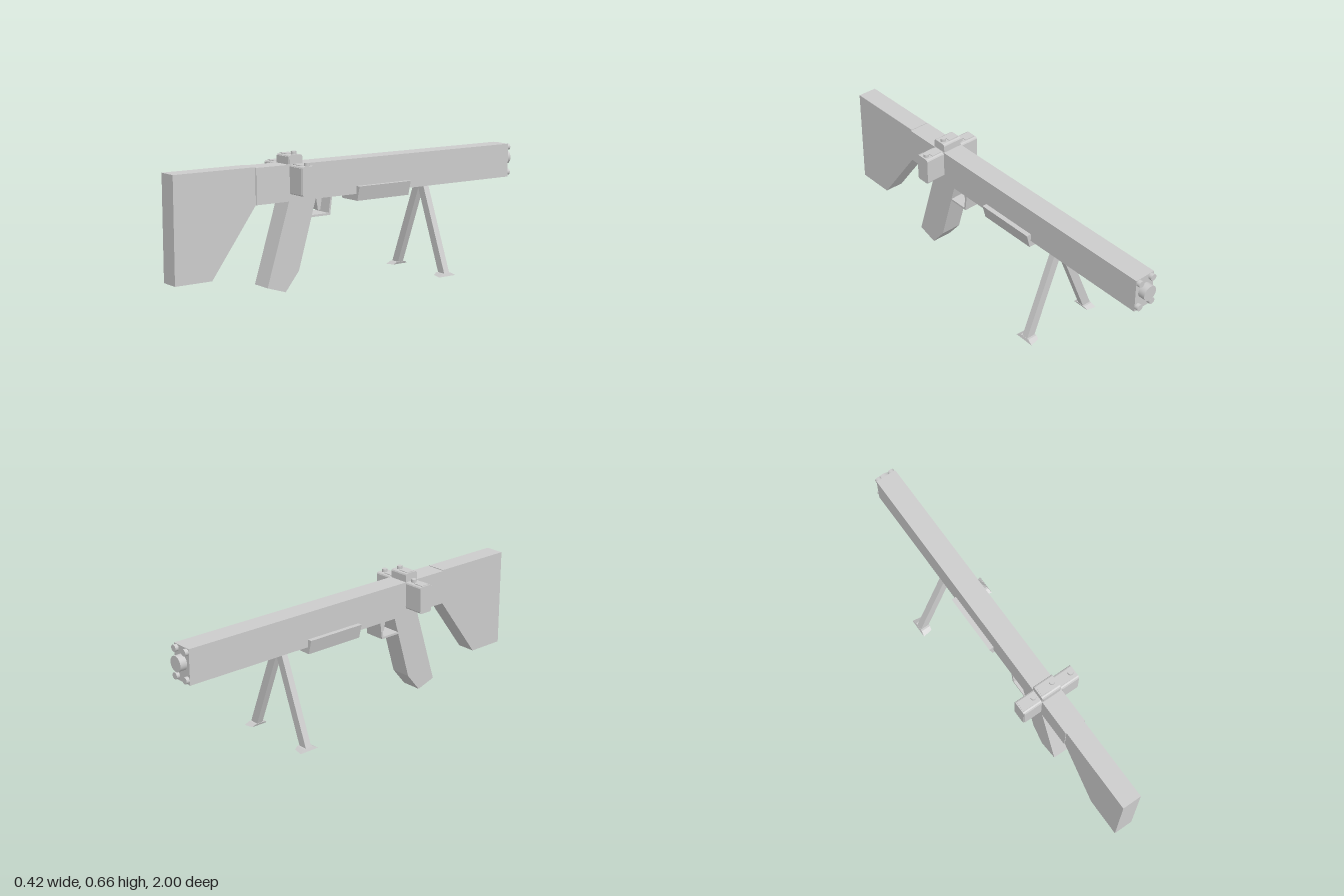
import * as THREE from 'three';

const material = new THREE.MeshStandardMaterial({ color: 0xcccccc, flatShading: true });
const smooth = new THREE.MeshStandardMaterial({ color: 0xcccccc });

function add(parent, name, geometry, mat = material) {
  const mesh = new THREE.Mesh(geometry, mat);
  mesh.name = name;
  parent.add(mesh);
  return mesh;
}

// Side profile of [z, y] points, extruded from x0 to x1
function sideProfile(points, x0, x1) {
  const shape = new THREE.Shape(points.map(([z, y]) => new THREE.Vector2(-z, y)));
  return new THREE.ExtrudeGeometry(shape, { depth: x1 - x0, bevelEnabled: false })
    .rotateY(Math.PI / 2).translate(x0, 0, 0);
}

// Front profile of [x, y] points, extruded from z0 to z1
function frontProfile(points, z0, z1) {
  const shape = new THREE.Shape(points.map(([x, y]) => new THREE.Vector2(x, y)));
  return new THREE.ExtrudeGeometry(shape, { depth: z1 - z0, bevelEnabled: false }).translate(0, 0, z0);
}

function box(x0, x1, y0, y1, z0, z1) {
  return new THREE.BoxGeometry(x1 - x0, y1 - y0, z1 - z0)
    .translate((x0 + x1) / 2, (y0 + y1) / 2, (z0 + z1) / 2);
}

// Counter box with softened side corners, a front panel, a top plate and a knob
function counterBox(name, x0, x1, y0, y1) {
  const group = new THREE.Group();
  group.name = name;
  const z0 = 0.32, z1 = 0.393, c = 0.009, d = 0.003;
  add(group, 'case', sideProfile([
    [z0 + c, y0], [z1 - c, y0], [z1 - d, y0 + d], [z1, y0 + c],
    [z1, y1 - c], [z1 - d, y1 - d], [z1 - c, y1], [z0 + c, y1],
    [z0 + d, y1 - d], [z0, y1 - c], [z0, y0 + c], [z0 + d, y0 + d],
  ], x0, x1));
  add(group, 'frontPanel', box(x0 + 0.005, x1 - 0.005, y0 + 0.007, y1 - 0.007, z1 - 0.002, z1 + 0.003));
  add(group, 'topPlate', box(x0 + 0.006, x0 + 0.06, y1 - 0.002, y1 + 0.003, 0.333, 0.38));
  add(group, 'knob', new THREE.CylinderGeometry(0.0135, 0.0135, 0.02, 24)
    .translate(x0 + 0.081, y1 + 0.005, 0.353), smooth);
  return group;
}

export function createModel() {
  const model = new THREE.Group();
  model.name = 'model';

  // Main body, stock and grip
  add(model, 'body', box(-0.051, 0.056, 0.43, 0.6, -0.965, 0.575));
  add(model, 'stock', sideProfile(
    [[1, 0.603], [0.575, 0.603], [0.575, 0.43], [0.81, 0.11], [1, 0.11]], -0.047, 0.05));
  add(model, 'grip', sideProfile(
    [[0.395, 0.44], [0.52, 0.04], [0.42, 0.008], [0.345, 0.1], [0.245, 0.44]], -0.05, 0.056));

  // Trigger and its guard
  add(model, 'triggerGuard', sideProfile([
    [0.275, 0.345], [0.165, 0.345], [0.153, 0.435], [0.162, 0.435],
    [0.174, 0.355], [0.272, 0.355]], -0.05, 0.056));
  add(model, 'trigger', sideProfile(
    [[0.222, 0.435], [0.21, 0.368], [0.196, 0.368], [0.186, 0.435]], -0.015, 0.02));

  // Flared fore grip under the body
  add(model, 'foreGrip', frontProfile(
    [[-0.057, 0.397], [0.062, 0.397], [0.08, 0.468], [-0.075, 0.468]], -0.302, 0.01));

  // Counter boxes on both sides and on top
  model.add(counterBox('rightCounter', -0.152, -0.05, 0.463, 0.6));
  model.add(counterBox('leftCounter', 0.056, 0.158, 0.463, 0.6));
  model.add(counterBox('topCounter', -0.05, 0.053, 0.54, 0.643));

  // Splayed bipod with tapered feet
  for (const s of [-1, 1]) {
    const leg = new THREE.Group();
    leg.name = s > 0 ? 'leftLeg' : 'rightLeg';
    const flip = (pts) => pts.map(([x, y]) => [s * x, y]);
    add(leg, 'strut', frontProfile(
      flip([[0.158, 0.012], [0.204, 0.012], [0.036, 0.435], [-0.008, 0.435]]), -0.448, -0.416));
    const foot = new THREE.BoxGeometry(0.05, 0.014, 0.104);
    const p = foot.attributes.position;
    for (let i = 0; i < p.count; i++) {
      const top = p.getY(i) > 0;
      const inner = p.getX(i) * s < 0;
      if (top) p.setZ(i, p.getZ(i) * 0.5);
      else if (inner) p.setZ(i, p.getZ(i) * 0.85);
      p.setXYZ(i, p.getX(i) + s * (top ? 0.179 : 0.184),
        top ? 0.014 : inner ? 0.003 : 0, p.getZ(i) - 0.432);
    }
    foot.computeVertexNormals();
    add(leg, 'foot', foot);
    model.add(leg);
  }

  // Muzzle: stepped central barrel with four corner barrels
  const muzzle = new THREE.Group();
  muzzle.name = 'muzzle';
  const barrel = (name, r, x, y, z) => add(muzzle, name,
    new THREE.CylinderGeometry(r, r, 0.96 + z, 32).rotateX(Math.PI / 2)
      .translate(x, y, -(0.96 + (0.96 + z) / 2)), smooth);
  barrel('centreBarrel', 0.037, 0.002, 0.525, -0.92);
  for (const x of [-0.034, 0.039]) {
    for (const y of [0.452, 0.582]) barrel('cornerBarrel', 0.016, x, y, -0.938);
  }
  model.add(muzzle);

  return model;
}
